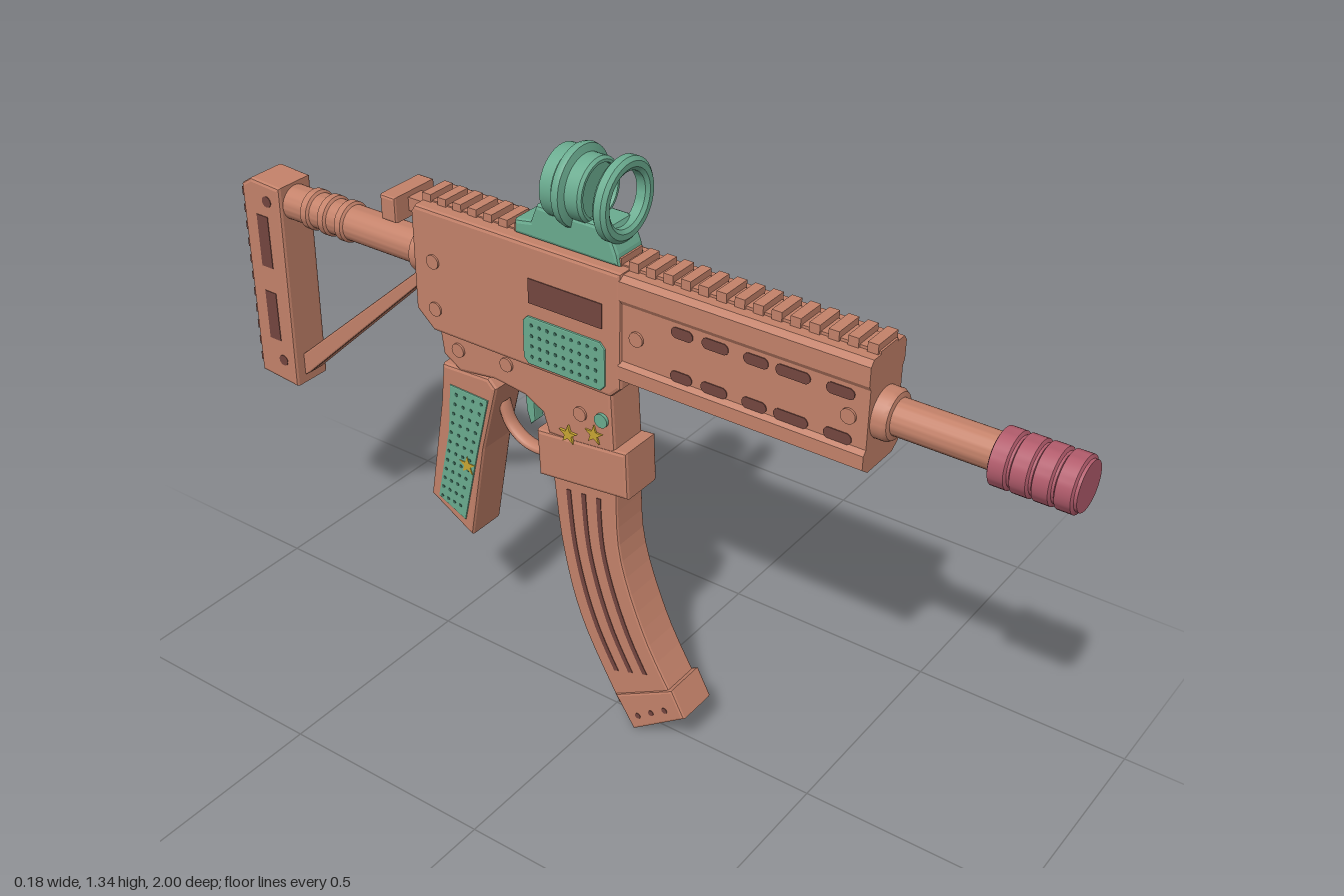
import * as THREE from 'three';
import { mergeGeometries, toCreasedNormals } from 'three/addons/utils/BufferGeometryUtils.js';

const mat = (name, color) => new THREE.MeshStandardMaterial({ name, color });

export function createModel() {
  const clay = mat('clay', 0xc4826a);
  const dark = mat('darkBrown', 0x74463f);
  const green = mat('green', 0x6bac90);
  const darkGreen = mat('darkGreen', 0x3d6e5c);
  const pink = mat('pink', 0xb25c6c);
  const blue = mat('blue', 0x5b8fb5);
  const yellow = mat('yellow', 0xc9a633);
  const root = new THREE.Group();
  root.name = 'toyBlaster';

  const add = (name, geo, material) => {
    const m = new THREE.Mesh(geo, material);
    m.name = name;
    root.add(m);
  };
  // Side outline as [z, y] points, extruded evenly across x
  const side = (pts, half, bevel = 0.008) => {
    const shape = new THREE.Shape(pts.map(p => new THREE.Vector2(p[0], p[1])));
    const g = new THREE.ExtrudeGeometry(shape, {
      depth: 2 * (half - bevel), bevelEnabled: bevel > 0, bevelSize: bevel,
      bevelThickness: bevel, bevelOffset: -bevel, bevelSegments: 2,
    });
    return g.translate(0, 0, -(half - bevel)).rotateY(-Math.PI / 2);
  };
  const rect = (z0, z1, y0, y1) => [[z0, y0], [z1, y0], [z1, y1], [z0, y1]];
  const pill = (z, y, len, h) => {
    const pts = [], r = h / 2;
    for (let i = 0; i < 12; i++) {
      const a = (i + 0.5) / 12 * Math.PI * 2;
      pts.push([z + Math.sign(Math.cos(a)) * (len / 2 - r) + Math.cos(a) * r, y + Math.sin(a) * r]);
    }
    return pts;
  };
  // Round pin along x, showing on both flanks
  const pin = (z, y, r, half, x = 0, n = 20) =>
    new THREE.CylinderGeometry(r, r, half * 2, n).toNonIndexed().rotateZ(Math.PI / 2).translate(x, y, z);
  // Turned part along z from [radius, z] points
  const turned = (pts, y) => toCreasedNormals(
    new THREE.LatheGeometry(pts.map(p => new THREE.Vector2(p[0], p[1])), 40).rotateX(Math.PI / 2).translate(0, y, 0), 0.6);
  const box = (x, y, z, w, h, d) => new THREE.BoxGeometry(w, h, d).translate(x, y, z);

  // Receiver
  add('upperReceiver', side([[0.055, 0.87], [0.055, 1.125], [-0.465, 1.125], [-0.475, 1.11], [-0.475, 0.885],
    [-0.43, 0.845], [0.03, 0.845]], 0.065), clay);
  add('lowerReceiver', side([[0.02, 0.86], [-0.43, 0.86], [-0.42, 0.785], [-0.375, 0.757], [-0.28, 0.77], [-0.2, 0.76],
    [-0.155, 0.735], [-0.14, 0.69], [0.03, 0.69]], 0.05), clay);
  add('magazineWell', side([[0.065, 0.605], [0.06, 0.715], [-0.17, 0.69], [-0.165, 0.58]], 0.053), clay);

  // Handguard: cross-section swept along z, with recessed flanks
  const half = [[0.045, 0.88], [0.066, 0.895], [0.066, 0.925], [0.058, 0.935], [0.058, 1.06], [0.064, 1.07],
    [0.064, 1.11], [0.055, 1.122]];
  const guard = new THREE.Shape([...half, ...half.map(p => [-p[0], p[1]]).reverse()].map(p => new THREE.Vector2(...p)));
  add('handguard', new THREE.ExtrudeGeometry(guard, { depth: 0.55, bevelEnabled: false }).translate(0, 0, 0.05), clay);
  const slots = [];
  for (const y of [1.04, 0.945])
    for (const [z, l] of [[0.54, 0.06], [0.44, 0.075], [0.36, 0.055], [0.27, 0.06], [0.195, 0.05]])
      slots.push(side(pill(z, y, l, 0.024), 0.06, 0));
  add('handguardSlots', mergeGeometries(slots), dark);

  // Top rail with teeth
  add('railBase', box(0, 1.122, 0.07, 0.06, 0.012, 1.06), clay);
  const teeth = [];
  for (let z = 0.585; z > -0.46; z -= 0.04) teeth.push(box(0, 1.13, z, 0.07, 0.024, 0.022));
  add('railTeeth', mergeGeometries(teeth), clay);

  // Barrel and muzzle
  add('barrel', turned([[0, 0.5], [0.052, 0.5], [0.052, 0.622], [0.047, 0.63], [0.037, 0.632], [0.037, 0.85], [0, 0.85]], 0.99), clay);
  const muzzle = [[0, 0.832], [0.05, 0.832]];
  for (let i = 0; i < 4; i++) {
    const z = 0.835 + i * 0.042;
    muzzle.push([0.056, z], [0.056, z + 0.03], [0.049, z + 0.033], [0.049, z + 0.038]);
  }
  muzzle.push([0.049, 1], [0, 1]);
  add('muzzle', turned(muzzle, 0.985), pink);

  // Side panel, ejection port, pins and bolt knob
  add('ejectionPort', side(rect(-0.17, 0.012, 0.995, 1.05), 0.067, 0), dark);
  add('sidePanel', side([[0.02, 0.868], [0.02, 0.952], [0.008, 0.965], [-0.173, 0.965], [-0.185, 0.952], [-0.185, 0.868],
    [-0.173, 0.855], [0.008, 0.855]], 0.069, 0.003), green);
  const dots = [];
  for (let i = 0; i < 9; i++) for (let j = 0; j < 4; j++)
    dots.push(pin(-0.002 - i * 0.02, 0.875 + j * 0.024, 0.0042, 0.0705, 0, 6));
  add('sidePanelDots', mergeGeometries(dots), darkGreen);
  add('pins', mergeGeometries([[0.56, 0.995, 0.063], [0.09, 0.995, 0.063], [-0.42, 1.01, 0.069], [-0.42, 0.9, 0.069],
    [-0.245, 0.82, 0.055], [-0.375, 0.81, 0.055], [-0.055, 0.77, 0.055]].map(([z, y, h]) => pin(z, y, 0.016, h))), clay);
  add('boltKnob', pin(0.005, 1.01, 0.022, 0.015, 0.075), clay);
  add('greenButton', pin(0, 0.775, 0.016, 0.057), green);

  // Stars
  const star = (z, y, h) => {
    const pts = [];
    for (let i = 0; i < 10; i++) {
      const a = Math.PI / 2 + i * Math.PI / 5, r = i % 2 ? 0.009 : 0.023;
      pts.push([z + Math.cos(a) * r, y + Math.sin(a) * r]);
    }
    return side(pts, h, 0);
  };
  add('stars', mergeGeometries([star(-0.02, 0.733, 0.054), star(-0.085, 0.71, 0.056), star(-0.365, 0.525, 0.055)]), yellow);

  // Curved magazine: front and rear edges as splines
  const curve = pts => new THREE.SplineCurve(pts.map(p => new THREE.Vector2(...p)));
  const front = curve([[0.032, 0.62], [0.042, 0.45], [0.105, 0.27], [0.19, 0.12]]);
  const rear = curve([[-0.135, 0.61], [-0.11, 0.41], [-0.06, 0.235], [0.04, 0.05]]);
  const across = (t, k) => front.getPoint(t).lerp(rear.getPoint(t), k).toArray();
  const strip = (k0, k1, t0, t1) => {
    const a = [], b = [];
    for (let i = 0; i <= 14; i++) {
      const t = t0 + (t1 - t0) * i / 14;
      a.push(across(t, k0));
      b.unshift(across(t, k1));
    }
    return [...a, ...b];
  };
  add('magazine', side(strip(0, 1, 0, 1), 0.047, 0.006), clay);
  add('magazineGrooves', mergeGeometries([0.28, 0.52, 0.76].map(k => side(strip(k - 0.035, k + 0.035, 0.1, 0.84), 0.0485, 0))), dark);
  add('magazineFoot', side([[0.182, 0.158], [0.216, 0.095], [0.083, 0], [0.033, 0.075]], 0.052, 0.006), clay);
  add('magazineFootDots', mergeGeometries([[0.165, 0.095], [0.13, 0.07], [0.095, 0.045]].map(([z, y]) => pin(z, y, 0.007, 0.0535, 0, 10))), dark);

  // Grip with dotted panels
  add('grip', side([[-0.28, 0.745], [-0.3, 0.765], [-0.425, 0.76], [-0.436, 0.66], [-0.48, 0.405], [-0.365, 0.337], [-0.322, 0.58]], 0.05), clay);
  add('gripPanel', side([[-0.3, 0.712], [-0.405, 0.716], [-0.415, 0.6], [-0.456, 0.41], [-0.38, 0.374], [-0.335, 0.57]], 0.053, 0.003), green);
  const gripDots = [];
  for (let i = 0; i < 12; i++) for (let j = 0; j < 4; j++) {
    const t = i / 11, k = 0.15 + j * 0.23;
    const z0 = -0.303 - 0.078 * t, w = 0.1 - 0.025 * t;
    gripDots.push(pin(z0 - w * k, 0.697 - t * 0.29 + t * k * 0.01, 0.0042, 0.0545, 0, 6));
  }
  add('gripPanelDots', mergeGeometries(gripDots), darkGreen);

  // Trigger and guard
  add('trigger', side([[-0.2, 0.78], [-0.23, 0.78], [-0.225, 0.7], [-0.215, 0.668], [-0.203, 0.68], [-0.205, 0.73]], 0.015, 0.003), green);
  const path = new THREE.CatmullRomCurve3([[-0.15, 0.62], [-0.19, 0.605], [-0.24, 0.61], [-0.28, 0.64], [-0.3, 0.69]]
    .map(([z, y]) => new THREE.Vector3(0, y, z)));
  add('triggerGuard', new THREE.TubeGeometry(path, 24, 0.01, 10).scale(1.8, 1, 1), clay);

  // Charging handle
  add('chargingStem', box(0, 1.095, -0.5, 0.04, 0.03, 0.08), clay);
  add('chargingHandle', side(rect(-0.56, -0.52, 1.065, 1.122), 0.063, 0.006), clay);

  // Stock: tube with rings, strut and butt plate
  const tube = [[0, -0.89], [0.04, -0.89]];
  for (const z of [-0.81, -0.76, -0.71]) tube.push([0.04, z - 0.012], [0.046, z - 0.008], [0.046, z + 0.008], [0.04, z + 0.012]);
  tube.push([0.04, -0.505], [0.052, -0.5], [0.052, -0.47], [0, -0.47]);
  add('stockTube', turned(tube, 0.993), clay);
  add('stockStrut', side([[-0.475, 0.94], [-0.505, 0.945], [-0.88, 0.615], [-0.88, 0.56], [-0.865, 0.57]], 0.022, 0.004), clay);
  add('buttPlate', side([[-0.875, 1.04], [-0.96, 1.045], [-0.99, 1.025], [-0.99, 0.55], [-0.88, 0.54]], 0.05), clay);
  add('buttSlots', mergeGeometries([side(rect(-0.95, -0.917, 0.835, 0.962), 0.0515, 0),
    side(rect(-0.95, -0.917, 0.65, 0.772), 0.0515, 0), pin(-0.915, 1.0, 0.013, 0.0515), pin(-0.915, 0.6, 0.013, 0.0515)]), dark);
  const ridges = [];
  for (let i = 0; i < 11; i++) ridges.push(box(0, 0.58 + i * 0.042, -0.993, 0.08, 0.02, 0.014));
  add('buttRidges', mergeGeometries(ridges), dark);

  // Sight: mount, front hoop, ribbed body and rear lens
  add('sightMount', side([[0.035, 1.125], [0.03, 1.15], [0.008, 1.2], [-0.165, 1.2], [-0.18, 1.162], [-0.22, 1.155], [-0.22, 1.125]], 0.043), green);
  add('sightHoop', turned([[0.058, 0.004], [0.078, 0], [0.086, 0.008], [0.086, 0.024], [0.078, 0.031], [0.066, 0.031], [0.058, 0.025], [0.058, 0.004]], 1.248), green);
  add('sightHoopPost', box(0, 1.165, 0.012, 0.05, 0.05, 0.022), green);
  add('sightBody', turned([[0, -0.132], [0.064, -0.136], [0.074, -0.13], [0.074, -0.102], [0.07, -0.098], [0.084, -0.094],
    [0.086, -0.086], [0.084, -0.078], [0.068, -0.074], [0.068, -0.044], [0.062, -0.038], [0.056, -0.038], [0.055, -0.046], [0, -0.046]], 1.25), green);
  add('rearLens', turned([[0, -0.14], [0.06, -0.138], [0.06, -0.13], [0, -0.13]], 1.25), blue);
  add('lensDot', turned([[0, -0.143], [0.006, -0.143], [0.006, -0.138], [0, -0.138]], 1.25), dark);

  return root;
}
